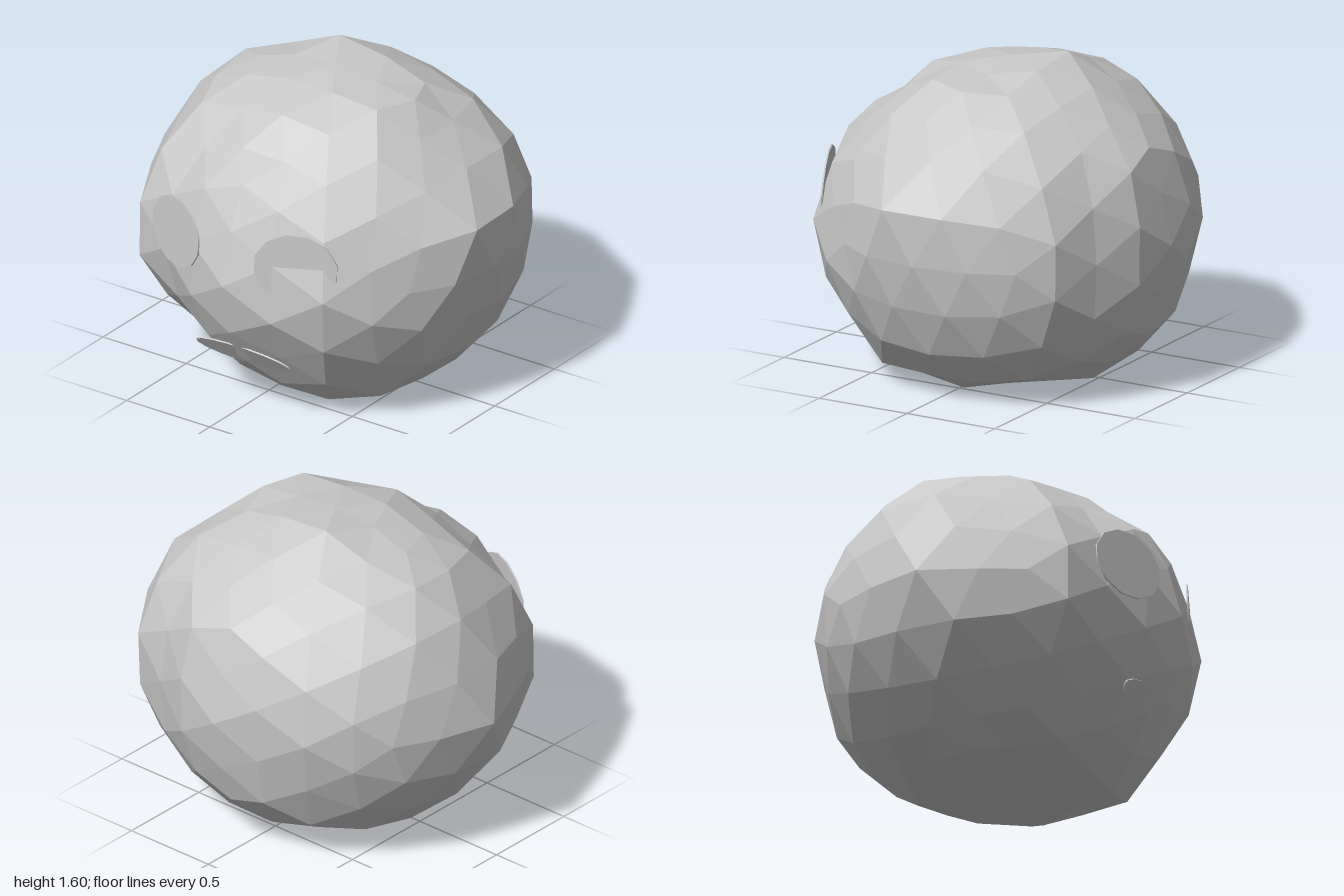
import * as THREE from 'three';

const CENTER = [0.03, 0.75, -0.02];

// Outlines of the boulder through its centre, one per plane.
const frontOutline = [[-0.14, 1.58], [0.3, 1.54], [0.55, 1.5], [0.7, 1.35], [0.87, 1.2], [1, 0.98], [0.98, 0.7],
  [0.93, 0.52], [0.86, 0.3], [0.73, 0.12], [0.53, 0.01], [0.45, 0], [-0.42, 0], [-0.5, 0.02], [-0.65, 0.18],
  [-0.78, 0.3], [-0.93, 0.52], [-1, 0.75], [-0.93, 0.98], [-0.82, 1.18], [-0.69, 1.36], [-0.47, 1.48]];
const sideOutline = [[-0.28, 1.6], [0.22, 1.57], [0.45, 1.47], [0.64, 1.28], [0.79, 1.22], [0.88, 1], [0.93, 0.75],
  [0.89, 0.5], [0.75, 0.29], [0.63, 0.14], [0.45, 0.01], [-0.53, 0], [-0.7, 0.15], [-0.85, 0.34], [-0.92, 0.75],
  [-0.9, 0.9], [-0.84, 1.2], [-0.7, 1.32], [-0.5, 1.47]];
const topOutline = [[0.03, 0.92], [0.32, 0.85], [0.57, 0.79], [0.73, 0.63], [0.9, 0.38], [1, 0.12], [0.96, -0.28],
  [0.87, -0.52], [0.74, -0.7], [0.55, -0.77], [0.28, -0.91], [0.03, -0.93], [-0.23, -0.91], [-0.48, -0.8],
  [-0.67, -0.66], [-0.8, -0.5], [-0.92, -0.2], [-1, -0.03], [-0.9, 0.2], [-0.8, 0.4], [-0.69, 0.64],
  [-0.45, 0.72], [-0.18, 0.89]];

// Each plane: outline, its two axes and its normal axis.
const planes = [[frontOutline, 0, 1, 2], [sideOutline, 2, 1, 0], [topOutline, 0, 2, 1]];

// Local bumps and dents: direction, height, sharpness.
const bumps = [
  [[-0.18, 0.88, -0.28], 0.03, 30],
  [[0.55, 0.6, -0.5], 0.03, 14],
  [[0.82, 0.44, -0.3], 0.035, 40],
  [[-0.72, 0.63, -0.16], 0.04, 30],
  [[0.47, 0.77, 0.22], 0.04, 25],
  [[0.97, 0.23, 0.14], 0.05, 40],
  [[-1, 0, 0], 0.015, 60],
  [[0.42, -0.74, 0.47], 0.075, 25],
  [[-0.65, 0.05, 0.72], 0.03, 30],
  [[0.36, -0.05, 0.86], 0.04, 30],
  [[-0.45, -0.62, 0.6], -0.05, 20],
  [[0.7, 0.4, 0.6], -0.04, 12],
  [[0.68, 0.58, 0.1], -0.035, 30],
  [[-0.8, 0.4, 0.25], -0.025, 30],
  [[0.7, 0.25, -0.65], -0.02, 25],
].map(([dir, height, sharp]) => [new THREE.Vector3(...dir).normalize(), height, sharp]);

// Distance from the centre to an outline along direction (a, b).
function reach(outline, u, v, a, b) {
  let best = 0;
  outline.forEach((p, i) => {
    const q = outline[(i + 1) % outline.length];
    const px = p[0] - CENTER[u], py = p[1] - CENTER[v];
    const ex = q[0] - p[0], ey = q[1] - p[1];
    const den = a * ey - b * ex;
    if (Math.abs(den) < 1e-9) return;
    const t = (px * ey - py * ex) / den;
    const s = (b * px - a * py) / den;
    if (t > 0 && s > -1e-4 && s < 1.0001) best = Math.max(best, t);
  });
  return best;
}

// Blend the three outlines, then add bumps and a little roughness.
function radius(dir) {
  const d = dir.toArray();
  let sum = 0, total = 0;
  for (const [outline, u, v, n] of planes) {
    const len = Math.hypot(d[u], d[v]);
    if (len < 0.01) continue;
    const w = (1 - d[n] * d[n]) / (d[n] * d[n] + 0.04);
    sum += w * reach(outline, u, v, d[u] / len, d[v] / len);
    total += w;
  }
  let r = sum / total;
  for (const [b, height, sharp] of bumps) r += height * Math.exp(sharp * (b.dot(dir) - 1));
  return r + 0.012 * Math.sin(9 * d[0] + 4 * d[1] + 1) * Math.sin(8 * d[1] - 7 * d[2] + 2);
}

function boulderGeometry() {
  const geometry = new THREE.IcosahedronGeometry(1, 3);
  const pos = geometry.attributes.position;
  const p = new THREE.Vector3();
  for (let i = 0; i < pos.count; i++) {
    p.fromBufferAttribute(pos, i).normalize();
    p.multiplyScalar(radius(p));
    pos.setXYZ(i, p.x + CENTER[0], Math.max(0, p.y + CENTER[1]), p.z + CENTER[2]);
  }
  geometry.computeVertexNormals(); // separate triangles give flat facets
  return geometry;
}

export function createModel() {
  const group = new THREE.Group();
  const stone = new THREE.MeshStandardMaterial({ color: 0xc8c8c8 });
  stone.name = 'pale grey stone';

  const add = (name, geometry) => {
    const mesh = new THREE.Mesh(geometry, stone);
    mesh.name = name;
    group.add(mesh);
    return mesh;
  };

  add('boulder', boulderGeometry());

  // Thin oval plate facing +z
  const plate = (w, h, sides) => new THREE.CylinderGeometry(1, 1, 0.008, sides)
    .rotateY(Math.PI / sides).rotateX(Math.PI / 2).scale(w, h, 1);

  // Eyes, turned outwards
  for (const [name, x, turn] of [['leftEye', 0.385, 0.39], ['rightEye', -0.335, -0.39]]) {
    const eye = add(name, plate(0.215, 0.18, 12));
    eye.position.set(x, 0.9, 0.815);
    eye.rotation.set(-0.06, turn, 0);
  }

  // Mouth, tilted down along the chin
  const mouth = add('mouth', plate(0.28, 0.075, 16));
  mouth.position.set(0.03, 0.31, 0.76);
  mouth.rotation.x = 0.62;
  return group;
}
